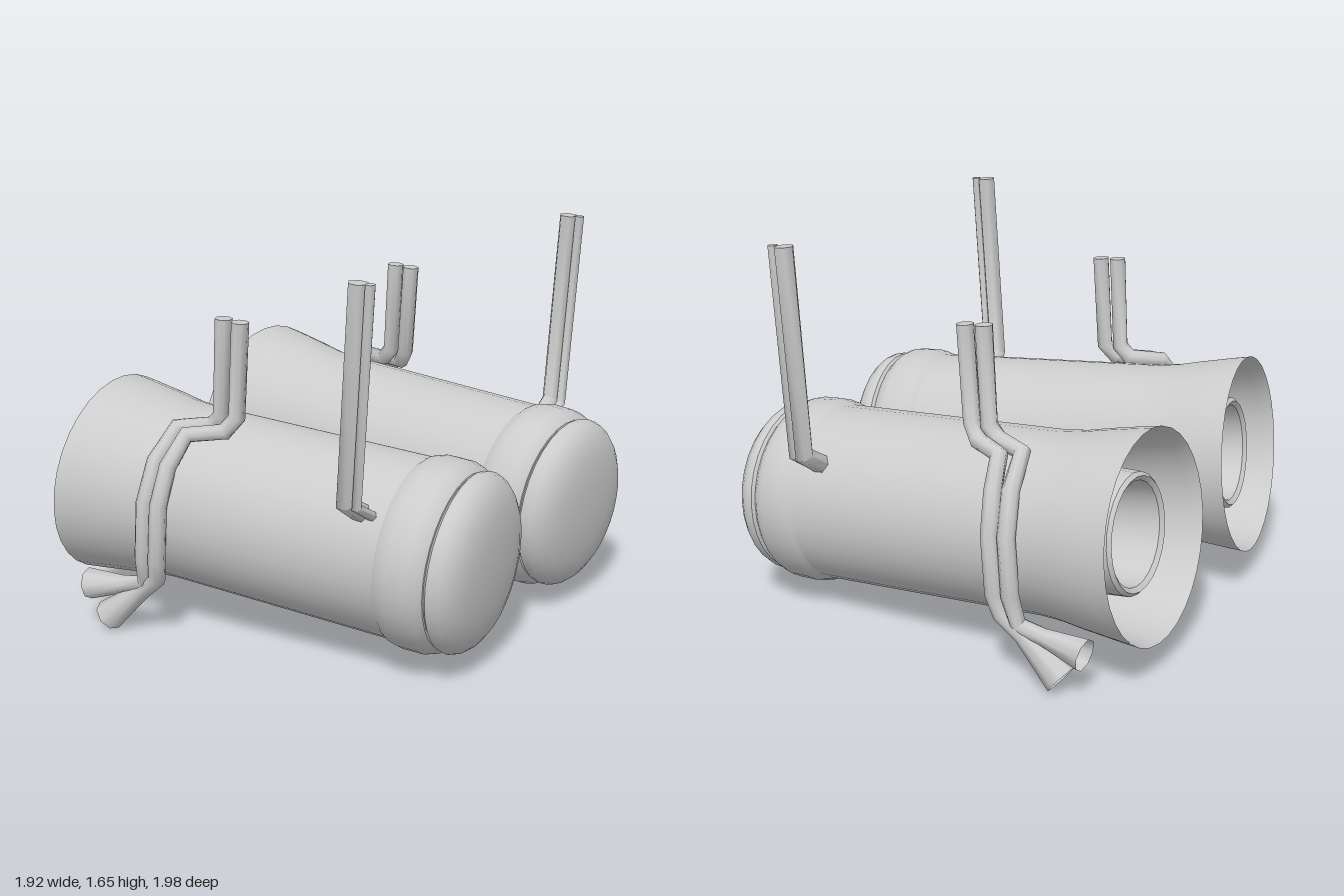
import * as THREE from 'three';
import { toCreasedNormals } from 'three/addons/utils/BufferGeometryUtils.js';

const material = new THREE.MeshStandardMaterial({ color: 0xcccccc, side: THREE.DoubleSide });

// Turned part: profile of [radius, distance along axis]
function turned(name, profile, segments = 32) {
  const pts = profile.map(([r, t]) => new THREE.Vector2(r, t));
  const geo = new THREE.LatheGeometry(pts, segments);
  // The nozzle mouth leans a little more than the rest of the barrel
  const p = geo.attributes.position;
  for (let i = 0; i < p.count; i++) {
    const k = THREE.MathUtils.clamp((-0.6 - p.getY(i)) / 0.3, 0, 1);
    p.setY(i, p.getY(i) - 0.035 * k * p.getX(i));
  }
  const mesh = new THREE.Mesh(toCreasedNormals(geo, 0.6), material);
  mesh.name = name;
  return mesh;
}

// Bent pipe through points; radii is a function of the point index
function pipe(name, points, radius, sides, side, capEnd) {
  const pts = points.map(([x, y, z]) => new THREE.Vector3(x, y, z * side));
  const pos = [], idx = [];
  const dir = (a, b) => pts[b].clone().sub(pts[a]).normalize();
  const normal = new THREE.Vector3(1, 0, 0);
  const last = pts.length - 1;
  pts.forEach((p, i) => {
    const t = dir(Math.max(i - 1, 0), Math.max(i, 1));
    if (i > 0 && i < last) t.add(dir(i, i + 1)).normalize();
    normal.addScaledVector(t, -normal.dot(t)).normalize();
    const binormal = t.clone().cross(normal);
    const r = radius(i);
    for (let j = 0; j < sides; j++) {
      const a = (j / sides) * Math.PI * 2;
      const v = p.clone()
        .addScaledVector(normal, Math.cos(a) * r)
        .addScaledVector(binormal, Math.sin(a) * r);
      pos.push(v.x, v.y, v.z);
      if (i < last) {
        const k = (j + 1) % sides, b = i * sides;
        idx.push(b + j, b + k, b + sides + j, b + k, b + sides + k, b + sides + j);
      }
    }
  });
  // Flat ends
  for (let j = 1; j < sides - 1; j++) {
    idx.push(0, j + 1, j);
    const b = last * sides;
    if (capEnd) idx.push(b, b + j, b + j + 1);
  }
  const geo = new THREE.BufferGeometry();
  geo.setAttribute('position', new THREE.Float32BufferAttribute(pos, 3));
  geo.setIndex(idx);
  geo.computeVertexNormals();
  const mesh = new THREE.Mesh(toCreasedNormals(geo, 1.1), material);
  mesh.name = name;
  return mesh;
}

function createEngine(side) {
  const engine = new THREE.Group();
  engine.name = side > 0 ? 'frontEngine' : 'backEngine';

  // Barrel parts, turned about one slightly sloping axis
  const barrel = new THREE.Group();
  barrel.name = 'barrel';
  barrel.add(
    turned('body', [
      [0.438, -0.92], [0.428, -0.84], [0.405, -0.68], [0.388, -0.58],
      [0.38, -0.48], [0.38, 0.1], [0.38, 0.62],
    ]),
    turned('nozzleLining', [
      [0.0, -0.58], [0.37, -0.58], [0.4, -0.72], [0.42, -0.86], [0.438, -0.92],
    ]),
    turned('innerNozzle', [
      [0.2, -0.59], [0.215, -0.83], [0.235, -0.845], [0.25, -0.83], [0.26, -0.59],
    ], 24),
    turned('collar', [
      [0.375, 0.575], [0.392, 0.6], [0.402, 0.645], [0.4, 0.735],
      [0.388, 0.77], [0.365, 0.795], [0.33, 0.8],
    ]),
    turned('endCap', [
      [0.35, 0.79], [0.372, 0.81], [0.376, 0.83], [0.365, 0.86], [0.34, 0.888],
      [0.3, 0.913], [0.24, 0.931], [0.16, 0.943], [0.08, 0.948], [0, 0.95],
    ]),
  );
  const axis = new THREE.Vector3(1, -0.062, -0.07 * side).normalize();
  barrel.quaternion.setFromUnitVectors(new THREE.Vector3(0, 1, 0), axis);
  barrel.position.set(0, 0.52, 0.49 * side);
  engine.add(barrel);

  // Pair of bent exhaust pipes with flared open ends
  const exhausts = [
    [[-0.213, 1.38, 0.66], [-0.235, 0.97, 0.66], [-0.28, 0.92, 0.665], [-0.415, 0.905, 0.73],
      [-0.43, 0.79, 0.86], [-0.443, 0.62, 0.925], [-0.46, 0.38, 0.925], [-0.48, 0.25, 0.893],
      [-0.59, 0.22, 0.89], [-0.775, 0.19, 0.91]],
    [[-0.13, 1.375, 0.66], [-0.157, 0.97, 0.66], [-0.2, 0.91, 0.69], [-0.335, 0.895, 0.77],
      [-0.357, 0.78, 0.87], [-0.37, 0.62, 0.925], [-0.388, 0.38, 0.925], [-0.41, 0.285, 0.9],
      [-0.5, 0.21, 0.893], [-0.675, 0.065, 0.91]],
  ];
  exhausts.forEach((path, n) => {
    const radius = (i) => (i === path.length - 1 ? 0.068 : 0.037);
    engine.add(pipe(n ? 'frontExhaustPipe' : 'rearExhaustPipe', path, radius, 8, side, false));
  });

  // Tall stack with a thin pipe beside it, both elbowing into the barrel
  engine.add(
    pipe('tallPipe', [[0.57, 1.655, 0.866], [0.512, 0.79, 0.866], [0.508, 0.715, 0.75]],
      () => 0.042, 6, side, true),
    pipe('thinPipe', [[0.623, 1.655, 0.866], [0.563, 0.78, 0.866], [0.56, 0.71, 0.75]],
      () => 0.022, 6, side, true),
  );
  return engine;
}

export function createModel() {
  const model = new THREE.Group();
  model.name = 'twinEngines';
  for (const side of [1, -1]) model.add(createEngine(side));
  return model;
}
